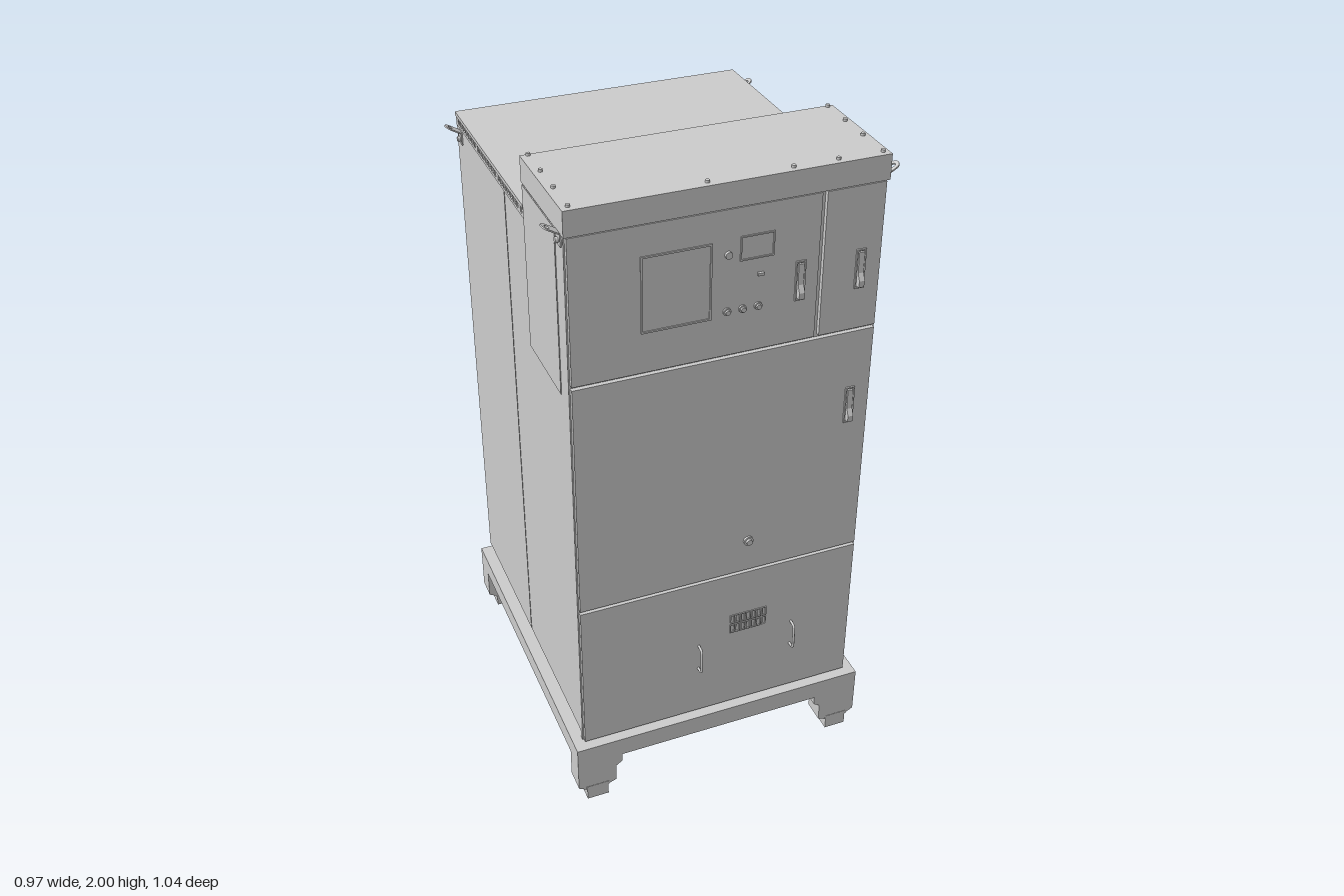
import * as THREE from 'three';

const grey = new THREE.MeshStandardMaterial({ color: 0xcccccc, side: THREE.DoubleSide });

export function createModel() {
  const root = new THREE.Group();

  const add = (name, geo, x = 0, y = 0, z = 0) => {
    const m = new THREE.Mesh(geo, grey);
    m.name = name;
    m.position.set(x, y, z);
    root.add(m);
    return m;
  };
  // Box given by its limits on each axis
  const box = (name, x0, x1, y0, y1, z0, z1) =>
    add(name, new THREE.BoxGeometry(x1 - x0, y1 - y0, z1 - z0), (x0 + x1) / 2, (y0 + y1) / 2, (z0 + z1) / 2);
  const extrude = (shape, depth) =>
    new THREE.ExtrudeGeometry(shape, { depth, bevelEnabled: false, curveSegments: 12 });
  // Upright slot outline: half width r, half height h
  const slot = (r, h, Type = THREE.Shape) => {
    const s = new Type();
    s.absarc(0, h - r, r, 0, Math.PI, false);
    s.absarc(0, r - h, r, Math.PI, Math.PI * 2, false);
    s.closePath();
    return s;
  };
  // Round part facing the front
  const knob = (name, x, y, r, depth, z = 0.493) =>
    add(name, new THREE.CylinderGeometry(r, r, depth, 20).rotateX(Math.PI / 2), x, y, z + depth / 2);
  // Thin raised rectangular border on the front
  const border = (name, x0, x1, y0, y1, t, z, depth) => {
    const s = new THREE.Shape([[x0, y0], [x1, y0], [x1, y1], [x0, y1]].map(p => new THREE.Vector2(...p)));
    s.holes.push(new THREE.Path([[x0 + t, y0 + t], [x0 + t, y1 - t], [x1 - t, y1 - t], [x1 - t, y0 + t]]
      .map(p => new THREE.Vector2(...p))));
    return add(name, extrude(s, depth), 0, 0, z);
  };

  // Base frame
  box('baseFrame', -0.467, 0.467, 0.15, 0.213, -0.517, 0.517);
  const legShape = new THREE.Shape([
    [0.467, 0.15], [0.325, 0.15], [0.325, 0.122], [0.345, 0.108], [0.345, 0.05], [0.372, 0.04],
    [0.372, 0], [0.44, 0], [0.44, 0.04], [0.467, 0.055],
  ].map(p => new THREE.Vector2(...p)));
  for (const s of [-1, 1]) {
    box('sideRail', s * 0.39 - 0.03, s * 0.39 + 0.03, 0.075, 0.15, -0.46, 0.46);
    for (const z of [-0.517, 0.447]) {
      const leg = add('leg', extrude(legShape, 0.07), 0, 0, z);
      if (s < 0) { leg.rotation.y = Math.PI; leg.position.z = z + 0.07; }
      box('footCollar', s * 0.406 - 0.037, s * 0.406 + 0.037, 0.04, 0.052, z - 0.001, z + 0.071);
    }
  }

  // Cabinet body
  box('plinth', -0.428, 0.428, 0.213, 0.25, -0.49, 0.468);
  box('cabinetBody', -0.438, 0.438, 0.247, 1.815, -0.495, 0.48);
  box('frontSill', -0.438, 0.438, 0.22, 0.25, 0.465, 0.48);
  box('frontCompartment', -0.438, 0.438, 1.815, 1.92, 0.16, 0.48);
  box('hood', -0.441, 0.441, 1.918, 1.99, 0.156, 0.493);
  for (const s of [-1, 1]) {
    box('sideCoverPanel', s * 0.4385 - 0.002, s * 0.4385 + 0.002, 1.43, 1.912, 0.16, 0.42);
    box('sideSeam', s * 0.438 - 0.0012, s * 0.438 + 0.0012, 0.25, 1.81, -0.022, -0.018);
  }

  // Rear roof with ventilation slots along its edges
  box('roofCore', -0.425, 0.425, 1.81, 1.845, -0.48, 0.16);
  box('roofPlate', -0.441, 0.441, 1.84, 1.852, -0.497, 0.157);
  box('roofLowerLip', -0.439, 0.439, 1.812, 1.821, -0.496, 0.157);
  for (let i = 0; i <= 22; i++) {
    const z = -0.485 + i * 0.0288, w = i % 7 === 0 ? 0.011 : 0.005;
    for (const s of [-1, 1])
      box('roofSlotPost', s * 0.431 - 0.008, s * 0.431 + 0.008, 1.819, 1.842, z - w, z + w);
  }
  for (let i = 0; i <= 30; i++) {
    const x = -0.43 + i * 0.02867, w = i % 10 < 2 ? 0.0144 : 0.005;
    box('roofSlotPost', Math.max(x - w, -0.439), Math.min(x + w, 0.439), 1.819, 1.842, -0.495, -0.478);
  }

  // Hood screws
  const screw = (x, z) => add('hoodScrew', new THREE.CylinderGeometry(0.006, 0.006, 0.008, 12), x, 1.993, z);
  for (const x of [-0.42, 0.424]) for (const z of [0.163, 0.264, 0.364, 0.473]) screw(x, z);
  for (const x of [-0.06, 0.173, 0.298]) screw(x, 0.473);

  // Front doors, separated by narrow gaps
  const doors = [
    ['controlDoor', -0.434, 0.25, 1.492, 1.916], ['narrowDoor', 0.264, 0.432, 1.492, 1.916],
    ['middleDoor', -0.434, 0.432, 0.736, 1.482], ['lowerDoor', -0.434, 0.432, 0.222, 0.726],
  ];
  for (const [name, x0, x1, y0, y1] of doors) box(name, x0, x1, y0, y1, 0.475, 0.493);

  // Swing handles: mounting plate and a wedge lever thicker at the bottom
  const lever = new THREE.Shape([[0, 0.05], [0.006, 0.05], [0.008, -0.01], [0.018, -0.03], [0.016, -0.05], [0, -0.05]]
    .map(p => new THREE.Vector2(...p)));
  for (const [x, y] of [[0.198, 1.675], [0.373, 1.675], [0.373, 1.245]]) {
    border('handlePlate', x - 0.014, x + 0.014, y - 0.058, y + 0.058, 0.004, 0.493, 0.005);
    add('handleLever', extrude(lever, 0.016).rotateY(-Math.PI / 2), x + 0.008, y, 0.493);
  }

  // Control panel fittings
  border('screenFrame', -0.245, -0.052, 1.61, 1.83, 0.005, 0.493, 0.003);
  border('displayFrame', 0.025, 0.12, 1.765, 1.835, 0.004, 0.493, 0.003);
  knob('indicator', -0.008, 1.79, 0.01, 0.008);
  box('selectorSwitch', 0.075, 0.092, 1.715, 1.723, 0.493, 0.501);
  for (const x of [-0.008, 0.036, 0.08]) {
    knob('buttonRing', x, 1.625, 0.011, 0.005);
    knob('button', x, 1.625, 0.007, 0.011);
  }
  knob('doorLock', 0.08, 0.845, 0.015, 0.006);
  knob('doorLockCore', 0.08, 0.845, 0.009, 0.014);

  // Lower door: vent grille and grab handles
  for (const y of [0.52, 0.556]) for (let i = 0; i < 7; i++) {
    const x = 0.039 + i * 0.0172;
    border('grilleSlot', x - 0.0075, x + 0.0075, y - 0.016, y + 0.016, 0.003, 0.493, 0.003);
  }
  for (const x of [-0.068, 0.235]) {
    const path = new THREE.CatmullRomCurve3(
      [[0.485, 0.395], [0.51, 0.396], [0.518, 0.405], [0.518, 0.475], [0.51, 0.484], [0.485, 0.485]]
        .map(([z, y]) => new THREE.Vector3(x, y, z)), false, 'catmullrom', 0.2);
    add('grabHandle', new THREE.TubeGeometry(path, 30, 0.004, 8));
  }

  // Corrugated oval ducts on one side, open at the end
  for (const [y, z] of [[1.69, -0.192], [1.69, -0.292], [1.46, -0.192]]) {
    for (let i = 0; i < 9; i++) {
      const grow = i % 2 ? 0 : 0.006;
      const ring = slot(0.029 + grow, 0.062 + grow);
      ring.holes.push(slot(0.025, 0.058, THREE.Path));
      add('ductRib', extrude(ring, 0.0056).rotateY(Math.PI / 2), 0.436 + i * 0.0056, y, z);
    }
  }

  // Lifting tabs: tilted plates with a hole and a bolt below
  const tab = new THREE.Shape();
  tab.moveTo(0, -0.017);
  tab.lineTo(0.036, -0.017);
  tab.absarc(0.036, 0, 0.017, -Math.PI / 2, Math.PI / 2, false);
  tab.lineTo(0, 0.017);
  tab.closePath();
  tab.holes.push(new THREE.Path().absarc(0.036, 0, 0.007, 0, Math.PI * 2, true));
  for (const s of [-1, 1]) for (const [y, z] of [[1.915, 0.453], [1.802, -0.455]]) {
    const g = new THREE.Group();
    g.name = 'liftingTab';
    const plate = new THREE.Mesh(extrude(tab, 0.004).rotateX(-Math.PI / 2), grey);
    plate.name = 'tabPlate';
    plate.rotation.z = 0.52;
    const foot = new THREE.Mesh(new THREE.BoxGeometry(0.004, 0.036, 0.034), grey);
    foot.name = 'tabFoot';
    foot.position.set(0.001, -0.014, 0);
    const bolt = new THREE.Mesh(new THREE.CylinderGeometry(0.008, 0.008, 0.01, 6).rotateZ(Math.PI / 2), grey);
    bolt.name = 'tabBolt';
    bolt.position.set(0.006, -0.018, 0);
    g.add(plate, foot, bolt);
    g.position.set(s * 0.439, y, z);
    if (s < 0) g.rotation.y = Math.PI;
    root.add(g);
  }

  return root;
}
